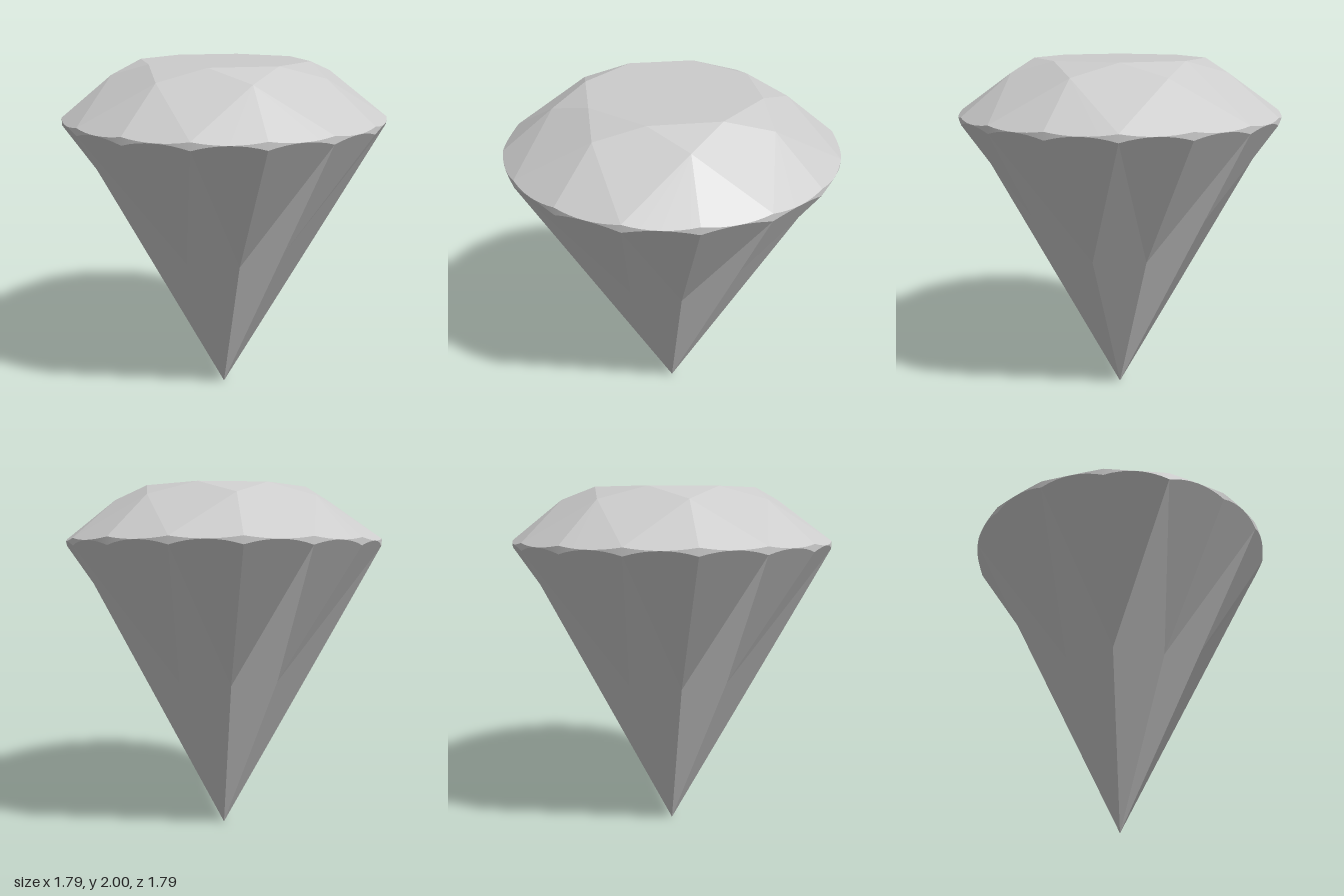
import * as THREE from 'three';

const STEP = Math.PI / 8;              // the cut repeats on 16 girdle points
const ARC = 8;                         // segments along one girdle scallop
const R = 0.895;                       // girdle radius
const TOP = 1.714, BOTTOM = 1.673;     // girdle edges where facets meet
const TABLE = { r: 0.475, y: 2 };
const STAR = { r: 0.62, y: 1.933 };    // lower tips of the star facets
const VALLEY = { r: 0.388, y: 0.92 };  // tips of the lower girdle facets

// Point on a circle round the axis; i counts steps of 22.5 degrees from the front
const at = ({ r, y }, i) => new THREE.Vector3(r * Math.sin(i * STEP), y, r * Math.cos(i * STEP));

// Scalloped edge: where a flat facet through the inner ring meets the girdle cylinder
function scallop(i, edgeY, inner) {
  const half = Math.cos(STEP / 2);
  const slope = (inner.y - edgeY) / ((R - inner.r) * half);
  return Array.from({ length: ARC + 1 }, (_, k) => {
    const t = k / ARC;
    const y = edgeY - slope * R * (Math.cos((t - 0.5) * STEP) - half);
    return at({ r: R, y }, i + t);
  });
}

// Polygon facets, each fanned from its first corner and sharing one normal
function facetGeometry(facets) {
  const position = [], normal = [];
  for (const f of facets) {
    const n = new THREE.Vector3();
    for (let k = 1; k < f.length - 1; k++) {
      const a = f[k].clone().sub(f[0]), b = f[k + 1].clone().sub(f[0]);
      n.add(a.cross(b));
    }
    n.normalize();
    for (let k = 1; k < f.length - 1; k++) {
      for (const p of [f[0], f[k], f[k + 1]]) {
        position.push(p.x, p.y, p.z);
        normal.push(n.x, n.y, n.z);
      }
    }
  }
  return makeGeometry(position, normal);
}

function makeGeometry(position, normal) {
  const g = new THREE.BufferGeometry();
  g.setAttribute('position', new THREE.Float32BufferAttribute(position, 3));
  g.setAttribute('normal', new THREE.Float32BufferAttribute(normal, 3));
  return g;
}

// Thin upright band between the two scalloped edges, smooth round the axis
function girdleGeometry() {
  const position = [], normal = [];
  for (let i = 0; i < 16; i++) {
    const up = scallop(i, TOP, STAR), low = scallop(i, BOTTOM, VALLEY);
    for (let k = 0; k < ARC; k++) {
      for (const p of [low[k], low[k + 1], up[k + 1], low[k], up[k + 1], up[k]]) {
        position.push(p.x, p.y, p.z);
        normal.push(p.x / R, 0, p.z / R);
      }
    }
  }
  return makeGeometry(position, normal);
}

export function createModel() {
  const gem = new THREE.Group();
  gem.name = 'cutGem';
  const material = new THREE.MeshStandardMaterial({ color: 0xcccccc });
  const add = (name, geometry) => {
    const mesh = new THREE.Mesh(geometry, material);
    mesh.name = name;
    gem.add(mesh);
  };

  const tip = new THREE.Vector3(0, 0, 0);
  const table = [], stars = [], bezels = [], upperHalves = [], lowerHalves = [], mains = [];
  for (let i = 0; i < 16; i += 2) {
    table.push(at(TABLE, i));
    stars.push([at(STAR, i + 1), at(TABLE, i + 2), at(TABLE, i)]);
    bezels.push([at(TABLE, i), at(STAR, i - 1), at({ r: R, y: TOP }, i), at(STAR, i + 1)]);
    // Kites of the lower cone, folded along the line from girdle to tip
    mains.push([tip, at(VALLEY, i + 1), at({ r: R, y: BOTTOM }, i), at(VALLEY, i - 1)]);
    // Pairs of girdle facets either side of each inner tip
    for (const j of [i, i + 1]) {
      upperHalves.push([at(STAR, i + 1), ...scallop(j, TOP, STAR)]);
      lowerHalves.push([at(VALLEY, i + 1), ...scallop(j, BOTTOM, VALLEY).reverse()]);
    }
  }

  add('table', facetGeometry([table]));
  add('starFacets', facetGeometry(stars));
  add('bezelFacets', facetGeometry(bezels));
  add('upperGirdleFacets', facetGeometry(upperHalves));
  add('girdle', girdleGeometry());
  add('lowerGirdleFacets', facetGeometry(lowerHalves));
  add('pavilionFacets', facetGeometry(mains));
  return gem;
}
